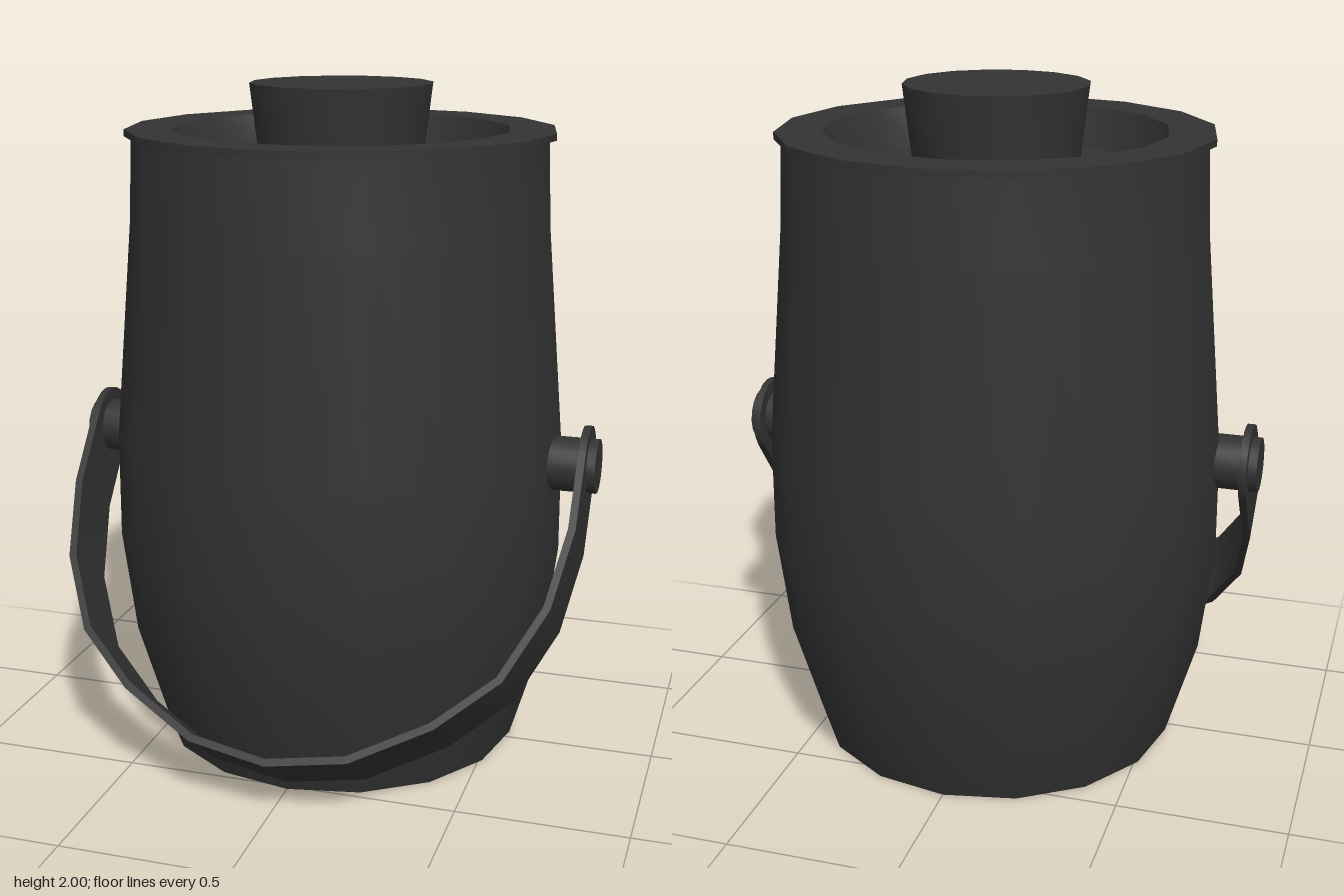
import * as THREE from 'three';
import { toCreasedNormals } from 'three/addons/utils/BufferGeometryUtils.js';

export function createModel() {
  const model = new THREE.Group();
  model.name = 'bucket';
  const dark = new THREE.MeshStandardMaterial({ color: 0x333333 });

  function add(name, geometry, parent = model) {
    const mesh = new THREE.Mesh(toCreasedNormals(geometry, 0.65), dark);
    mesh.name = name;
    parent.add(mesh);
    return mesh;
  }
  const lathe = (profile) =>
    new THREE.LatheGeometry(profile.map(([r, y]) => new THREE.Vector2(r, y)), 16);

  // Barrel-shaped vessel, lid and knob share one slightly set-back axis
  const vessel = new THREE.Group();
  vessel.name = 'vessel';
  vessel.position.z = -0.037;
  model.add(vessel);

  add('body', lathe([
    [0, 0], [0.553, 0], [0.645, 0.31], [0.685, 0.63],
    [0.683, 0.95], [0.627, 1.6], [0.616, 1.85],
  ]), vessel);

  // Flat rim with a sunken, slightly tapered well
  add('lid', lathe([
    [0.52, 1.85], [0.636, 1.85], [0.636, 1.87], [0.5, 1.87], [0.45, 1.75], [0, 1.75],
  ]), vessel);

  add('knob', lathe([[0.24, 1.75], [0.27, 2], [0, 2]]), vessel);

  // Pivot pins through the strap ends
  const pivotY = 0.91;
  for (const side of [1, -1]) {
    const pin = new THREE.CylinderGeometry(0.081, 0.081, 0.2, 16).rotateZ(Math.PI / 2);
    add(side > 0 ? 'leftPin' : 'rightPin', pin).position.set(side * 0.7, pivotY, 0);
  }

  // Carrying strap, hanging forward from the pins
  const handle = new THREE.Group();
  handle.name = 'handle';
  handle.position.y = pivotY;
  handle.rotation.x = -0.656;
  model.add(handle);

  const halfWidth = 0.118, thickness = 0.022;
  const half = [
    [0.775, 0], [0.775, -0.24], [0.735, -0.48], [0.63, -0.7],
    [0.46, -0.855], [0.235, -0.98],
  ];
  const outer = [
    ...half, [0, -1.02], ...half.slice().reverse().map(([x, y]) => [-x, y]),
  ].map(([x, y]) => new THREE.Vector2(x, y));
  // Offset each outer point inward, square to the strap
  const inner = outer.map((p, i) => {
    const end = i === 0 || i === outer.length - 1;
    const t = outer[Math.min(i + 1, outer.length - 1)].clone()
      .sub(outer[Math.max(i - 1, 0)]).normalize();
    return end
      ? new THREE.Vector2(p.x - Math.sign(p.x) * thickness, p.y)
      : new THREE.Vector2(p.x + t.y * thickness, p.y - t.x * thickness);
  });
  const shape = new THREE.Shape([...outer, ...inner.reverse()]);
  add('strap', new THREE.ExtrudeGeometry(shape, { depth: halfWidth * 2, bevelEnabled: false })
    .translate(0, 0, -halfWidth), handle);

  // Rounded strap ends
  for (const side of [1, -1]) {
    const end = new THREE.CylinderGeometry(halfWidth, halfWidth, thickness, 10, 1, false, 0, Math.PI)
      .rotateZ(Math.PI / 2);
    add(side > 0 ? 'leftStrapEnd' : 'rightStrapEnd', end, handle)
      .position.x = side * (0.775 - thickness / 2);
  }

  return model;
}
